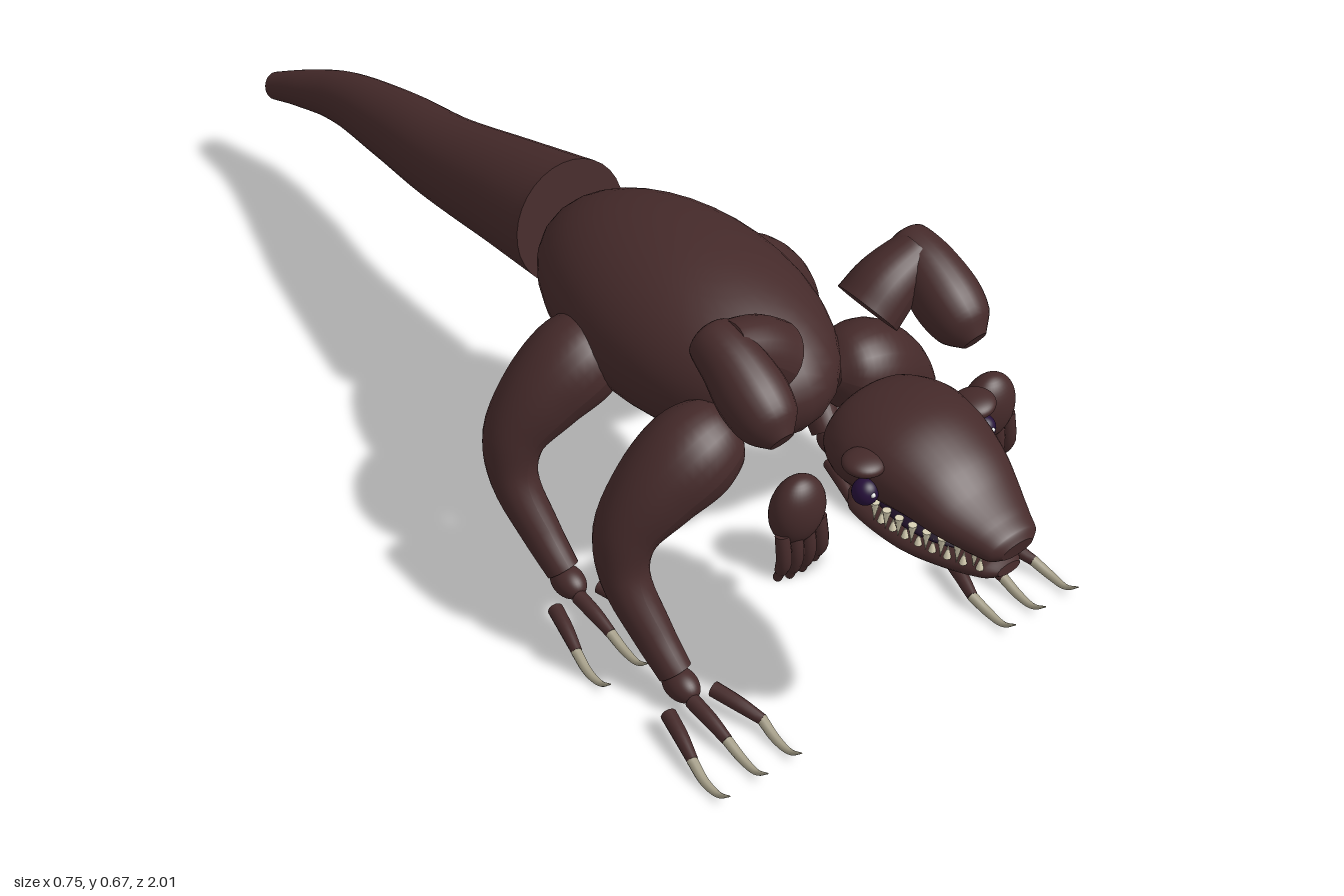
import * as THREE from 'three';

const mat = (name, color) => {
  const m = new THREE.MeshStandardMaterial({ color });
  m.name = name;
  return m;
};
const X = new THREE.Vector3(1, 0, 0), Z = new THREE.Vector3(0, 0, 1);

// Smooth closed skin through sections [x, y, z, r1, r2]; r1 lies along ref, r2 across it
function loft(sections, ref, steps = 24, sides = 24) {
  const v = (s) => new THREE.Vector3(s[0], s[1], s[2]);
  const path = new THREE.CatmullRomCurve3(sections.map(v), false, 'centripetal');
  const radii = new THREE.CatmullRomCurve3(
    sections.map((s, i) => new THREE.Vector3(s[3], s[4] ?? s[3], i)), false, 'catmullrom', 0.5);
  const pos = [], idx = [], w = sides + 1;
  const ringPoints = (i) => {
    const t = i / steps, p = path.getPoint(t), r = radii.getPoint(t), tan = path.getTangent(t);
    const n = ref.clone().addScaledVector(tan, -ref.dot(tan)).normalize();
    const b = tan.clone().cross(n);
    for (let j = 0; j <= sides; j++) {
      const a = (j / sides) * Math.PI * 2;
      const q = p.clone().addScaledVector(n, Math.cos(a) * r.x).addScaledVector(b, Math.sin(a) * r.y);
      pos.push(q.x, q.y, q.z);
    }
    return p;
  };
  for (let i = 0; i <= steps; i++) {
    ringPoints(i);
    for (let j = 0; i < steps && j < sides; j++) {
      const a = i * w + j, c = a + w;
      idx.push(a, a + 1, c, a + 1, c + 1, c);
    }
  }
  // end caps with their own vertices so the rims stay crisp
  for (const end of [0, steps]) {
    const start = pos.length / 3, p = ringPoints(end);
    pos.push(p.x, p.y, p.z);
    for (let j = 0; j < sides; j++) {
      if (end) idx.push(start + w, start + j, start + j + 1);
      else idx.push(start + w, start + j + 1, start + j);
    }
  }
  const g = new THREE.BufferGeometry();
  g.setAttribute('position', new THREE.Float32BufferAttribute(pos, 3));
  g.setIndex(idx);
  g.computeVertexNormals();
  return g;
}

export function createModel() {
  const skin = mat('skin', 0x452a2a), eyeMat = mat('eye', 0x26103a), toothMat = mat('tooth', 0xd8d0b4);
  const clawMat = mat('claw', 0xa39c86), mouthMat = mat('mouth', 0x1c0d24), glintMat = mat('glint', 0xffffff);
  const root = new THREE.Group();
  root.name = 'clawedReptile';

  const add = (parent, name, geo, material) => {
    const m = new THREE.Mesh(geo, material);
    m.name = name;
    parent.add(m);
    return m;
  };
  const ball = (parent, name, p, r, material = skin) => {
    const m = add(parent, name, new THREE.SphereGeometry(1, 32, 24), material);
    m.position.set(...p);
    m.scale.set(...r);
    return m;
  };
  const group = (name) => {
    const g = new THREE.Group();
    g.name = name;
    root.add(g);
    return g;
  };
  const flip = (list, s) => list.map(([x, ...rest]) => [x * s, ...rest]);

  // Body and tail
  ball(root, 'body', [0, 0.418, 0.257], [0.185, 0.148, 0.31]);
  add(root, 'tail', loft([
    [0, 0.42, -0.045, 0.11], [0, 0.39, -0.2, 0.096], [0.004, 0.347, -0.4, 0.08],
    [0.024, 0.305, -0.6, 0.068], [0.032, 0.262, -0.8, 0.05], [0.014, 0.227, -0.92, 0.036],
    [0, 0.2, -0.995, 0.027],
  ], X, 40, 32), skin);

  // Head with upper and lower jaw
  const head = group('head');
  add(head, 'skull', loft([
    [0, 0.49, 0.668, 0.05, 0.03], [0, 0.492, 0.69, 0.095, 0.058], [0, 0.494, 0.74, 0.118, 0.072],
    [0, 0.496, 0.8, 0.112, 0.073], [0, 0.487, 0.86, 0.098, 0.06], [0, 0.47, 0.91, 0.082, 0.045],
    [0, 0.457, 0.96, 0.06, 0.034], [0, 0.452, 0.988, 0.047, 0.026], [0, 0.45, 0.999, 0.03, 0.015],
  ], X, 48, 36), skin);
  add(head, 'lowerJaw', loft([
    [0, 0.395, 0.715, 0.06, 0.022], [0, 0.388, 0.74, 0.08, 0.03], [0, 0.385, 0.84, 0.078, 0.028],
    [0, 0.392, 0.92, 0.056, 0.024], [0, 0.401, 0.97, 0.038, 0.017], [0, 0.405, 0.988, 0.022, 0.008],
  ], X, 32, 28), skin);
  ball(head, 'mouthLining', [0, 0.424, 0.83], [0.075, 0.012, 0.12], mouthMat);

  for (const s of [1, -1]) {
    const side = s > 0 ? 'left' : 'right';
    ball(head, side + 'Eye', [s * 0.116, 0.485, 0.805], [0.02, 0.021, 0.02], eyeMat);
    ball(head, side + 'EyeGlint', [s * 0.118, 0.491, 0.824], [0.004, 0.004, 0.003], glintMat);
    const brow = ball(head, side + 'Brow', [s * 0.108, 0.525, 0.79], [0.034, 0.015, 0.032]);
    brow.rotation.z = s * 0.08;
    // Upper and lower tooth rows along the jaw edge
    for (let i = 0; i < 8; i++) {
      const t = i / 7, x = s * (0.078 - 0.04 * t * t), z = 0.79 + 0.165 * t;
      const up = add(head, side + 'UpperTooth', new THREE.ConeGeometry(0.007, 0.036, 8), toothMat);
      up.position.set(x, 0.415 + 0.006 * t, z);
      up.rotation.x = Math.PI;
      const low = add(head, side + 'LowerTooth', new THREE.ConeGeometry(0.006, 0.024, 8), toothMat);
      low.position.set(x * 0.94, 0.412 + 0.008 * t, z + 0.01);
    }

    // Small arm: shoulder piece, forearm, hand and four fingers
    const arm = group(side + 'Arm');
    add(arm, 'upperArm', loft(flip([
      [0.094, 0.572, 0.57, 0.056], [0.13, 0.602, 0.57, 0.052], [0.19, 0.632, 0.572, 0.042],
    ], s), Z, 12), skin);
    add(arm, 'forearm', loft(flip([
      [0.19, 0.638, 0.53, 0.02], [0.19, 0.635, 0.54, 0.038], [0.19, 0.618, 0.59, 0.048],
      [0.19, 0.587, 0.64, 0.054], [0.19, 0.562, 0.68, 0.045], [0.19, 0.548, 0.705, 0.02],
    ], s), X), skin);
    ball(arm, 'hand', [s * 0.19, 0.45, 0.745], [0.047, 0.058, 0.034]);
    for (let i = 0; i < 4; i++) {
      const x = 0.155 + i * 0.0235, drop = i === 1 || i === 2 ? 0 : 0.008;
      add(arm, 'finger', loft(flip([
        [x, 0.425, 0.755, 0.011], [x, 0.38, 0.762, 0.012], [x, 0.35 + drop, 0.757, 0.01],
        [x, 0.343 + drop, 0.755, 0.007], [x, 0.33 + drop, 0.75, 0.007], [x, 0.325 + drop, 0.748, 0.003],
      ], s), X, 14, 12), skin);
    }

    // Matching front and hind legs with three clawed toes
    for (const [label, dz] of [['Front', 0], ['Hind', -0.288]]) {
      const leg = group(side + label + 'Leg');
      leg.position.z = dz;
      add(leg, 'legLimb', loft(flip([
        [0.10, 0.395, 0.49, 0.03], [0.125, 0.388, 0.49, 0.062], [0.175, 0.368, 0.488, 0.078],
        [0.235, 0.325, 0.48, 0.07], [0.288, 0.262, 0.475, 0.053], [0.303, 0.195, 0.49, 0.04],
        [0.292, 0.11, 0.545, 0.033], [0.284, 0.055, 0.595, 0.028],
      ], s), Z, 36), skin);
      ball(leg, 'ankle', [s * 0.286, 0.043, 0.612], [0.026, 0.026, 0.036]);
      for (const [x0, x1, x2] of [[0.248, 0.222, 0.225], [0.29, 0.292, 0.292], [0.337, 0.36, 0.366]]) {
        add(leg, 'toe', loft(flip([
          [x0, 0.036, 0.645, 0.013], [(x0 + x1) / 2, 0.032, 0.69, 0.012], [x1, 0.024, 0.732, 0.009],
        ], s), X, 8, 12), skin);
        add(leg, 'claw', loft(flip([
          [x1, 0.024, 0.73, 0.009], [x2, 0.013, 0.768, 0.0075], [x2, 0.013, 0.8, 0.005],
          [x2, 0.032, 0.826, 0.001],
        ], s), X, 14, 10), clawMat);
      }
    }
  }
  return root;
}
